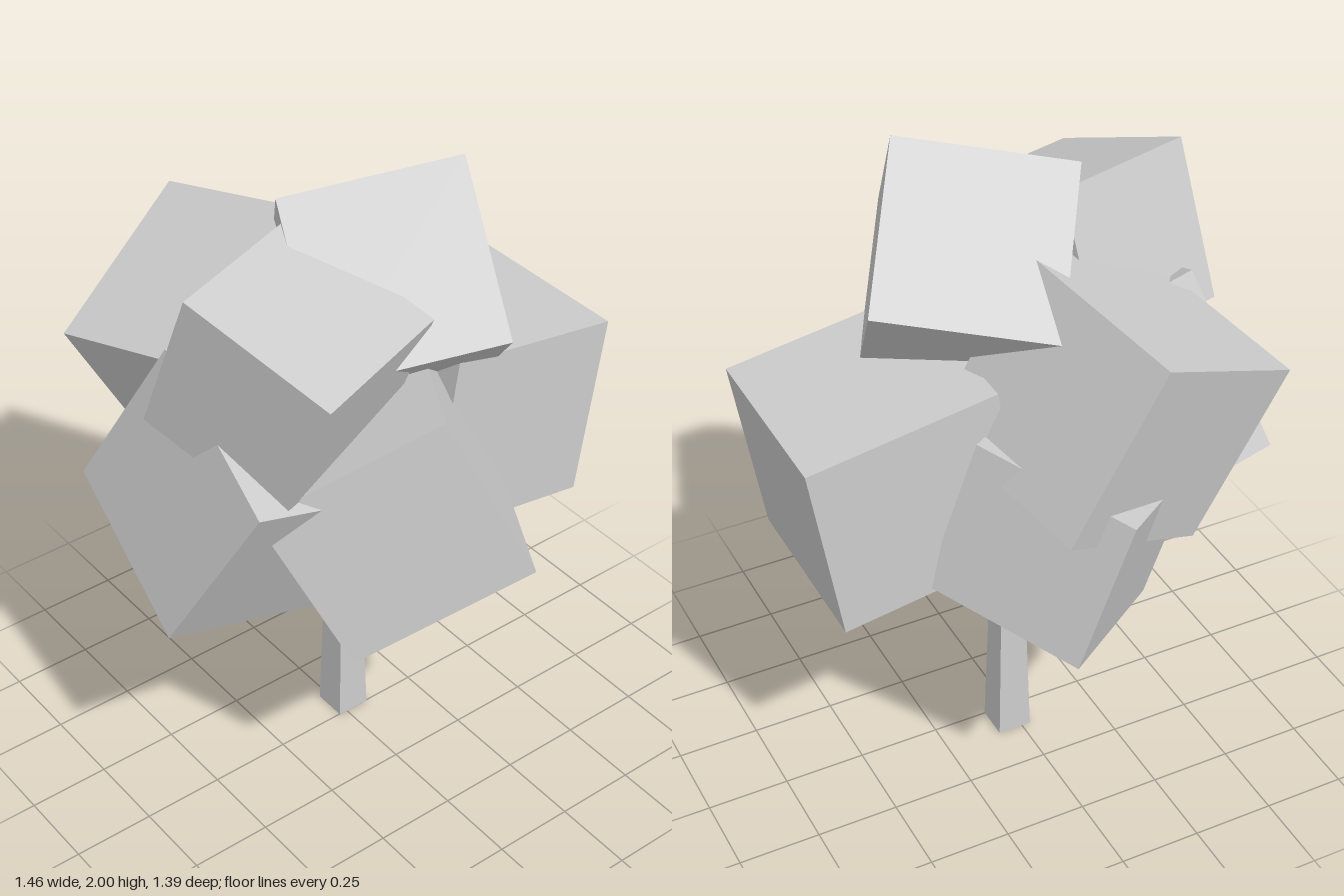
import * as THREE from 'three';

const material = new THREE.MeshStandardMaterial({ color: 0xcccccc, flatShading: true });

// Foliage cubes: side length, centre, and the directions of two edges
const foliage = [
  { name: 'topFoliage', size: 0.515, centre: [0.09, 1.6, 0.07], a: [0.22, -0.33, -0.32], b: [-0.1, -0.38, 0.33] },
  { name: 'upperRightFoliage', size: 0.478, centre: [-0.315, 1.53, 0.15], a: [0.46, 0.02, -0.15], b: [-0.135, 0.17, -0.42] },
  { name: 'upperBackFoliage', size: 0.567, centre: [-0.16, 1.33, -0.317], a: [0.26, -0.5, 0.03], b: [-0.485, -0.242, 0.168] },
  { name: 'frontFoliage', size: 0.568, centre: [-0.07, 1.08, 0.255], a: [-0.45, -0.26, -0.24], b: [-0.21, 0.5, -0.16] },
  { name: 'leftFoliage', size: 0.57, centre: [0.405, 1.095, 0.005], a: [0.565, -0.09, 0], b: [0.09, 0.565, 0] },
  { name: 'rightFoliage', size: 0.57, centre: [-0.35, 1.09, 0.01], a: [0.55, -0.16, 0], b: [0.145, 0.49, 0.244] },
  { name: 'lowerBackFoliage', size: 0.49, centre: [-0.01, 0.965, -0.33], a: [-0.14, 0.47, -0.045], b: [-0.38, -0.08, 0.3] },
];

// A cube turned so that its edges follow a, b and their cross product
function tiltedCube({ name, size, centre, a, b }) {
  const x = new THREE.Vector3(...a).normalize();
  const z = x.clone().cross(new THREE.Vector3(...b)).normalize();
  const y = z.clone().cross(x);
  const mesh = new THREE.Mesh(new THREE.BoxGeometry(size, size, size), material);
  mesh.name = name;
  mesh.quaternion.setFromRotationMatrix(new THREE.Matrix4().makeBasis(x, y, z));
  mesh.position.set(...centre);
  return mesh;
}

export function createModel() {
  const tree = new THREE.Group();
  tree.name = 'tree';

  // Square trunk, tapering upwards into the foliage
  const height = 1;
  const trunkGeometry = new THREE.CylinderGeometry(0.027 * Math.SQRT2, 0.053 * Math.SQRT2, height, 4);
  trunkGeometry.rotateY(Math.PI / 4);
  const trunk = new THREE.Mesh(trunkGeometry, material);
  trunk.name = 'trunk';
  trunk.position.set(0.025, height / 2, -0.05);
  tree.add(trunk);

  // Crown of overlapping cubes
  const crown = new THREE.Group();
  crown.name = 'crown';
  for (const cube of foliage) crown.add(tiltedCube(cube));
  tree.add(crown);

  return tree;
}
